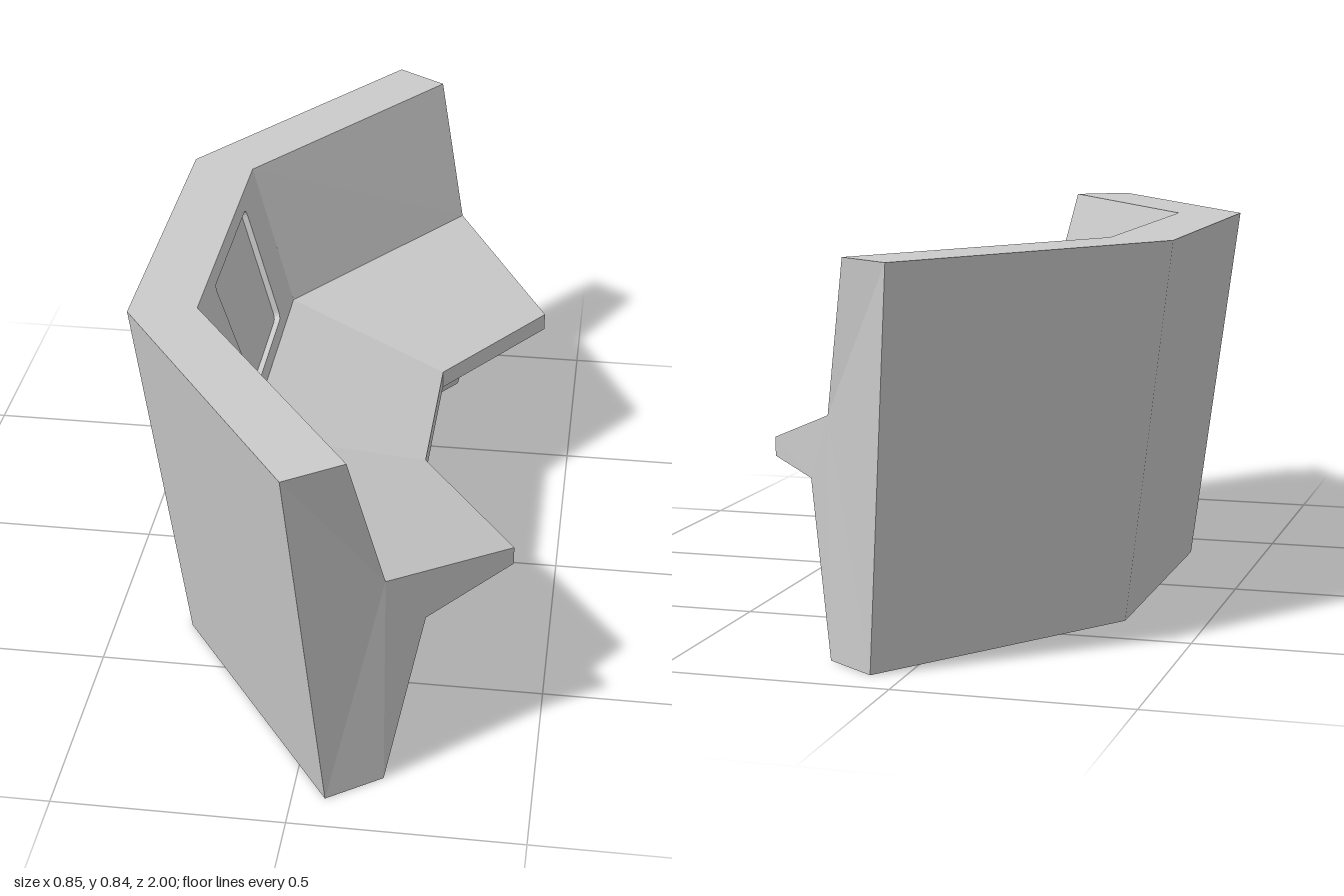
import * as THREE from 'three';

// Cross-section corners [x, y, z] at the free end and at the bend:
// outer top, inner top, desk back, desk lip top, lip bottom, underside, inner foot, outer foot
const END = [[0, 0.84, 1], [0.117, 0.84, 0.92], [0.184, 0.51, 0.832], [0.424, 0.402, 0.52],
  [0.424, 0.36, 0.52], [0.258, 0.36, 0.738], [0.184, 0, 0.832], [0.07, 0, 0.914]];
const BEND = [[-0.428, 0.84, 0.385], [-0.283, 0.84, 0.348], [-0.183, 0.51, 0.315], [0.199, 0.402, 0.199],
  [0.199, 0.36, 0.199], [-0.067, 0.36, 0.276], [-0.183, 0, 0.315], [-0.322, 0, 0.352]];
const CAP = [[0, 1, 2], [0, 2, 7], [2, 6, 7], [2, 5, 6], [2, 3, 5], [3, 4, 5]];
const DEPTH = 0.014;

const mirror = (pts) => pts.map(([x, y, z]) => [x, y, -z]);

function fromTriangles(pos) {
  const g = new THREE.BufferGeometry();
  g.setAttribute('position', new THREE.Float32BufferAttribute(pos.flat(), 3));
  g.computeVertexNormals();
  return g;
}

// Point on the sloped middle wall, u to its right, v up, sunk by d
const onWall = (u, v, d = 0) => [-0.283 + (0.84 - v) * 0.303 - d * 0.957, v - d * 0.29, -u];

function wallGeometry(shape, d) {
  const g = new THREE.ShapeGeometry(shape, 6);
  const p = g.attributes.position;
  for (let i = 0; i < p.count; i++) p.setXYZ(i, ...onWall(p.getX(i), p.getY(i), d));
  g.computeVertexNormals();
  return g;
}

// Rounded trapezoid outline of the screen
function screenPath(Type) {
  const c = [[-0.172, 0.538], [0.172, 0.538], [0.194, 0.81], [-0.194, 0.81]].map((p) => new THREE.Vector2(...p));
  const s = new Type();
  c.forEach((p, i) => {
    const a = p.clone().add(c[(i + 3) % 4].clone().sub(p).setLength(0.018));
    const b = p.clone().add(c[(i + 1) % 4].clone().sub(p).setLength(0.018));
    if (i === 0) s.moveTo(a.x, a.y); else s.lineTo(a.x, a.y);
    s.quadraticCurveTo(p.x, p.y, b.x, b.y);
  });
  s.closePath();
  return s;
}

export function createModel() {
  const group = new THREE.Group();
  const material = new THREE.MeshStandardMaterial({ color: 0xcccccc });
  const double = new THREE.MeshStandardMaterial({ color: 0xcccccc, side: THREE.DoubleSide });
  const add = (name, geometry, mat = material) => {
    const m = new THREE.Mesh(geometry, mat);
    m.name = name;
    group.add(m);
  };

  // Three desk sections, the middle one leaving its inner wall open for the screen
  const stations = [END, BEND, mirror(BEND), mirror(END)];
  ['leftSection', 'middleSection', 'rightSection'].forEach((name, s) => {
    const a = stations[s], b = stations[s + 1], tris = [];
    for (let i = 0; i < 8; i++) {
      if (s === 1 && i === 1) continue;
      const j = (i + 1) % 8;
      tris.push(a[i], a[j], b[j], a[i], b[j], b[i]);
    }
    add(name, fromTriangles(tris.map((p) => [...p])));
  });

  // End panels
  add('leftEndPanel', fromTriangles(CAP.flatMap(([i, j, k]) => [END[i], END[k], END[j]])));
  add('rightEndPanel', fromTriangles(CAP.flatMap((t) => t.map((i) => stations[3][i]))));

  // Middle inner wall with the screen opening
  const wall = new THREE.Shape([[-0.315, 0.51], [0.315, 0.51], [0.348, 0.84], [-0.348, 0.84]]
    .map((p) => new THREE.Vector2(...p)));
  wall.holes.push(screenPath(THREE.Path));
  add('middleWall', wallGeometry(wall, 0));

  // Recessed screen and its rim
  add('screen', wallGeometry(screenPath(THREE.Shape), DEPTH));
  const outline = screenPath(THREE.Path).getPoints(6), rim = [];
  outline.forEach((p, i) => {
    const q = outline[(i + 1) % outline.length];
    const [a, b] = [onWall(p.x, p.y), onWall(q.x, q.y)];
    const [c, d] = [onWall(q.x, q.y, DEPTH), onWall(p.x, p.y, DEPTH)];
    rim.push(a, b, c, a, c, d);
  });
  add('screenRim', fromTriangles(rim), double);

  return group;
}
